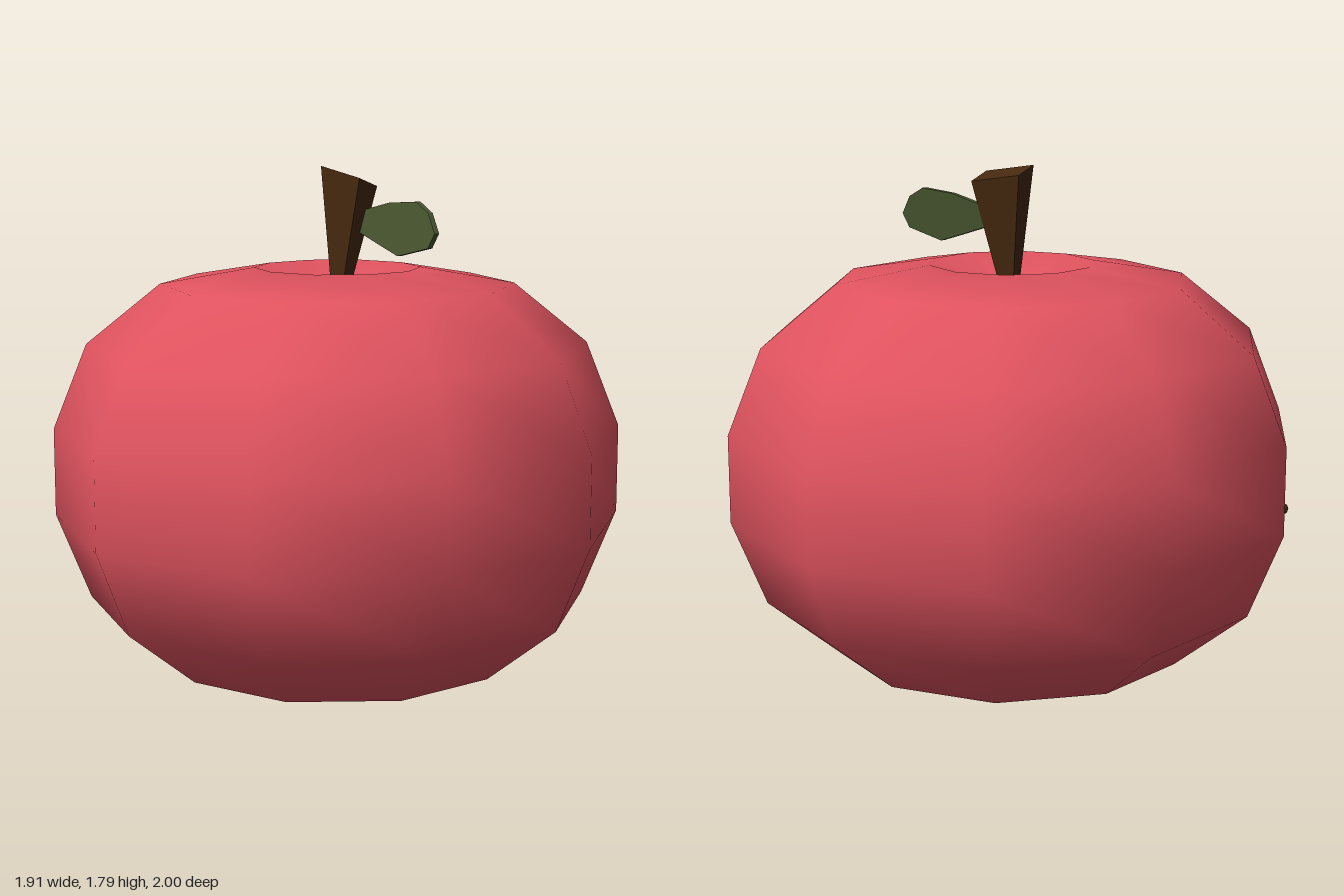
import * as THREE from 'three';

const red = new THREE.MeshStandardMaterial({ name: 'apple red', color: 0xe0535f });
const brown = new THREE.MeshStandardMaterial({ name: 'stem brown', color: 0x45280f });
const green = new THREE.MeshStandardMaterial({ name: 'leaf green', color: 0x48552f });

function addMesh(group, name, geometry, material) {
  const mesh = new THREE.Mesh(geometry, material);
  mesh.name = name;
  group.add(mesh);
  return mesh;
}

// Ten-sided smooth fruit, dimpled at both poles
function fruitGeometry() {
  const half = [[1, 0.155], [0.88, 0.455], [0.62, 0.665], [0.29, 0.722], [0, 0.59]];
  const upper = half.map(([r, y]) => new THREE.Vector2(r, 0.722 + y));
  const lower = half.map(([r, y]) => new THREE.Vector2(r, 0.722 - y)).reverse();
  return new THREE.LatheGeometry([...lower, ...upper], 10);
}

// Tapered box, leaning back, with a slanted cut at the top
function stemGeometry() {
  const geo = new THREE.BoxGeometry(1, 1, 1).toNonIndexed();
  const p = geo.attributes.position;
  for (let i = 0; i < p.count; i++) {
    const x = p.getX(i), z = p.getZ(i);
    if (p.getY(i) > 0) p.setXYZ(i, x * 0.216, 1.758 - x * 0.034 + z * 0.03, -0.05 + z * 0.078);
    else p.setXYZ(i, x * 0.036, 1.3, -0.006 + z * 0.026);
  }
  geo.computeVertexNormals();
  return geo;
}

// Thick leaf blade whose upper edge leans back
function leafGeometry() {
  const outline = [[0.06, 1.57], [0.19, 1.53], [0.29, 1.5], [0.44, 1.535], [0.465, 1.585],
    [0.42, 1.65], [0.35, 1.685], [0.21, 1.675], [0.06, 1.64]];
  const shape = new THREE.Shape(outline.map(([x, y]) => new THREE.Vector2(x, y)));
  const geo = new THREE.ExtrudeGeometry(shape, { depth: 0.02, bevelEnabled: false });
  const p = geo.attributes.position;
  for (let i = 0; i < p.count; i++) p.setZ(i, p.getZ(i) - 0.064 - (p.getY(i) - 1.59) * 0.16);
  geo.computeVertexNormals();
  return geo;
}

export function createModel() {
  const apple = new THREE.Group();
  apple.name = 'apple';
  addMesh(apple, 'fruit', fruitGeometry(), red);
  addMesh(apple, 'stem', stemGeometry(), brown);
  addMesh(apple, 'leaf', leafGeometry(), green);
  // Tiny dark blemish on the side of the skin
  addMesh(apple, 'blemish', new THREE.SphereGeometry(0.018, 6, 4), brown).position.set(-0.938, 0.66, 0.322);
  return apple;
}
